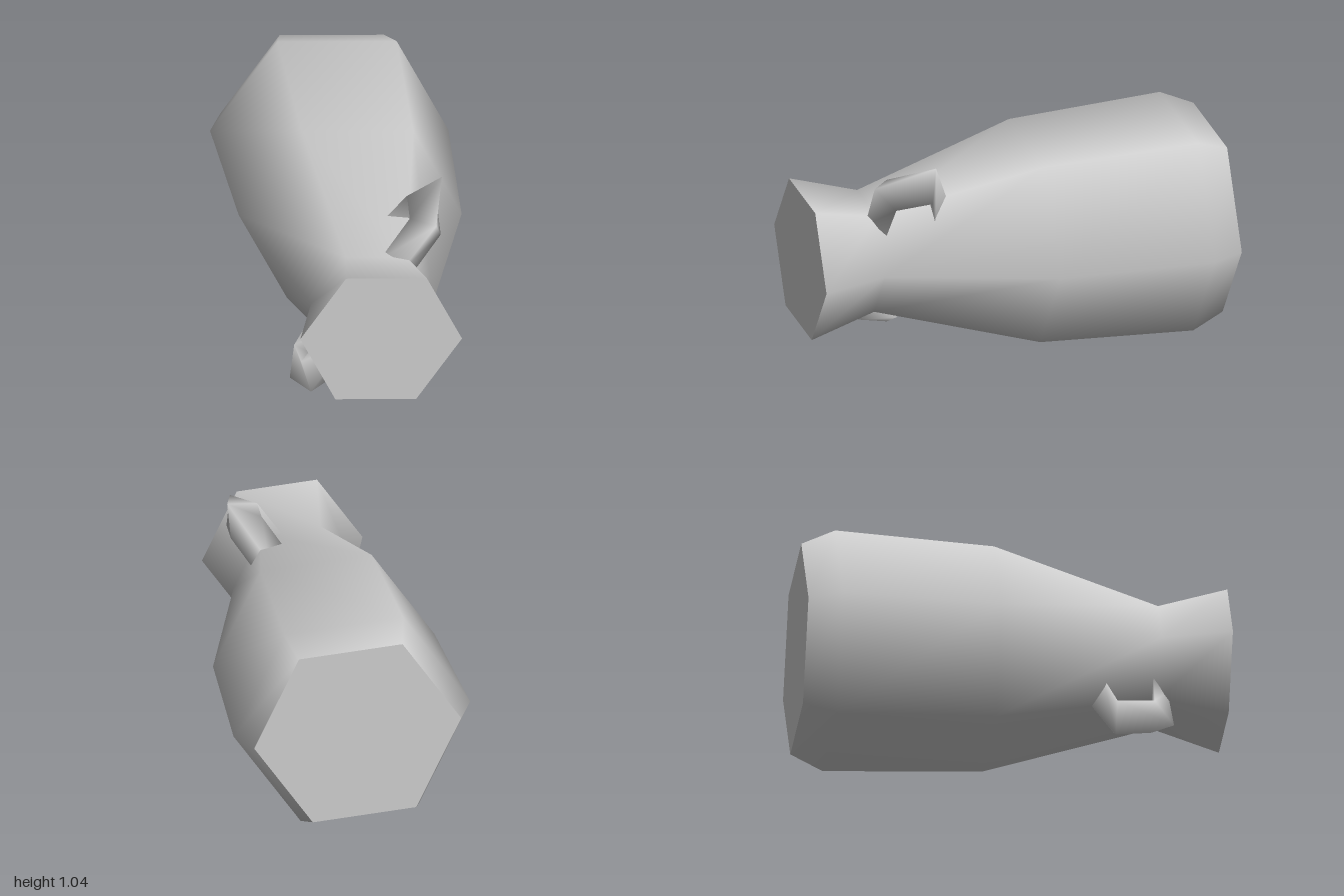
import * as THREE from 'three';

const TURN = THREE.MathUtils.degToRad(-4.4); // angle of the first hexagon corner
const AXIS_Y = 0.523;                        // height of the lying jar's axis

// Handle stations: outer ridge [radius, z] and inner edge [radius, z]
const STATIONS = [
  [0.22, 0.725, 0.2, 0.65],
  [0.52, 0.735, 0.45, 0.64],
  [0.631, 0.455, 0.468, 0.465],
  [0.32, 0.335, 0.26, 0.41],
];
const HALF_WIDTH = 0.088;

// Triangular bar bent through the stations: ridge outside, flat side inside
function handleGeometry() {
  const pos = [], idx = [];
  for (const [ro, zo, ri, zi] of STATIONS) {
    pos.push(ro, 0, zo, ri, HALF_WIDTH, zi, ri, -HALF_WIDTH, zi);
  }
  for (let i = 0; i < STATIONS.length - 1; i++) {
    for (let j = 0; j < 3; j++) {
      const a = i * 3 + j, b = i * 3 + (j + 1) % 3;
      idx.push(a, a + 3, b, b, a + 3, b + 3);
    }
  }
  const geo = new THREE.BufferGeometry();
  geo.setAttribute('position', new THREE.Float32BufferAttribute(pos, 3));
  geo.setIndex(idx);
  geo.computeVertexNormals();
  return geo;
}

export function createModel() {
  const model = new THREE.Group();
  model.name = 'amphora';
  const clay = new THREE.MeshStandardMaterial({ color: 0xcccccc });
  clay.name = 'grey clay';

  const add = (name, geo) => {
    const mesh = new THREE.Mesh(geo, clay);
    mesh.name = name;
    mesh.position.y = AXIS_Y;
    model.add(mesh);
    return mesh;
  };

  // Six-sided jar wall, base at the back and mouth at the front
  const profile = [[0.49, -1], [0.56, -0.845], [0.524, -0.1], [0.286, 0.68], [0.38, 1]]
    .map(([r, z]) => new THREE.Vector2(r, z));
  const wall = new THREE.LatheGeometry(profile, 6, TURN + Math.PI / 2);
  wall.rotateX(Math.PI / 2);
  add('body', wall);

  // Flat ends
  add('mouth', new THREE.CircleGeometry(0.38, 6, TURN)).position.z = 1;
  const base = add('base', new THREE.CircleGeometry(0.49, 6, -TURN));
  base.rotation.y = Math.PI;
  base.position.z = -1;

  // Two handles on opposite corners of the shoulder
  const bar = handleGeometry();
  ['leftHandle', 'rightHandle'].forEach((name, i) => {
    add(name, bar).rotation.z = TURN + Math.PI / 3 + i * Math.PI;
  });
  return model;
}
